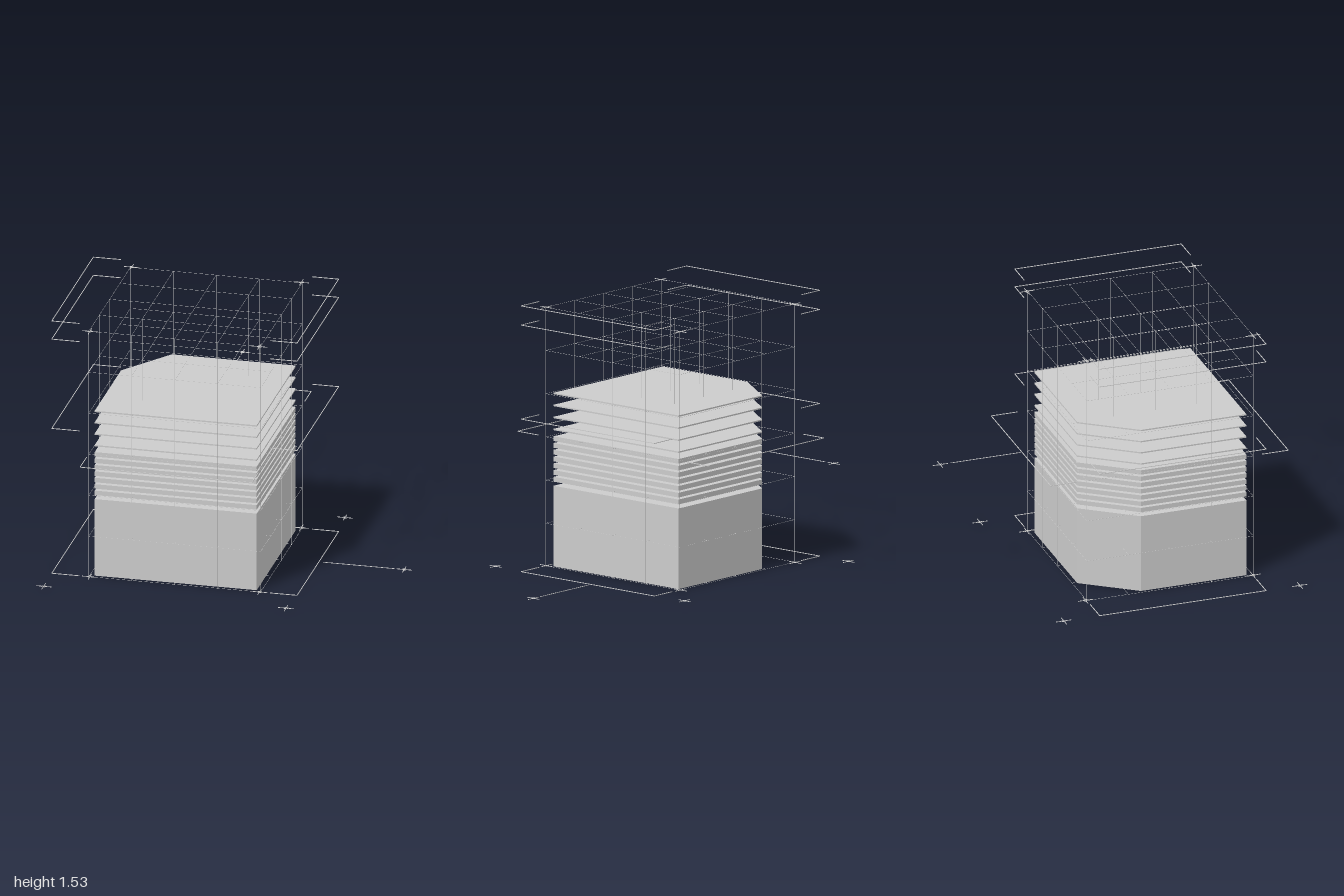
import * as THREE from 'three';

const grey = new THREE.MeshStandardMaterial({ color: 0xcccccc, flatShading: true });

// Lattice bounds
const STEP = 0.248, X0 = -0.743, X1 = 0.249, Z0 = -0.249, Z1 = 0.743, TOP = 1.488;

function addMesh(parent, name, geometry) {
  const mesh = new THREE.Mesh(geometry, grey);
  mesh.name = name;
  parent.add(mesh);
  return mesh;
}

// Thin square bar between two points lying along one axis
function addBar(parent, name, a, b, t) {
  const size = a.map((v, i) => Math.max(Math.abs(b[i] - v), t));
  const bar = addMesh(parent, name, new THREE.BoxGeometry(...size));
  bar.position.set(...a.map((v, i) => (v + b[i]) / 2));
}

function addGroup(parent, name) {
  const group = new THREE.Group();
  group.name = name;
  parent.add(group);
  return group;
}

// Square plate with one corner cut off, between two heights
function addPlate(parent, name, bottom, top) {
  const outline = [[-0.717, 0.711], [0.219, 0.711], [0.219, -0.219], [-0.497, -0.219], [-0.717, 0.083]];
  const shape = new THREE.Shape(outline.map(([x, z]) => new THREE.Vector2(x, -z)));
  const geometry = new THREE.ExtrudeGeometry(shape, { depth: top - bottom, bevelEnabled: false });
  geometry.rotateX(-Math.PI / 2);
  addMesh(parent, name, geometry).position.y = bottom;
}

// Flat cross with a small ring at its centre
function addMarker(parent, x, y, z) {
  const marker = addGroup(parent, 'crossMarker');
  const arm = 0.045, t = 0.003;
  addBar(marker, 'markerArm', [x - arm, y, z], [x + arm, y, z], t);
  addBar(marker, 'markerArm', [x, y, z - arm], [x, y, z + arm], t);
  const ring = addMesh(marker, 'markerRing', new THREE.TorusGeometry(0.013, 0.0012, 4, 12));
  ring.rotation.x = Math.PI / 2;
  ring.position.set(x, y, z);
}

// Long bar with two inward ends, along z at a side
function addSideBracket(parent, x, endX, y) {
  const t = 0.0035, group = addGroup(parent, 'sideBracket');
  addBar(group, 'bracketBar', [x, y, Z0], [x, y, Z1], t);
  for (const z of [Z0, Z1]) addBar(group, 'bracketEnd', [x, y, z], [endX, y, z], t);
}

// The same, along x at the front or back
function addEndBracket(parent, z, endZ, y) {
  const t = 0.0035, group = addGroup(parent, 'endBracket');
  addBar(group, 'bracketBar', [X0, y, z], [X1, y, z], t);
  for (const x of [X0, X1]) addBar(group, 'bracketEnd', [x, y, z], [x, y, endZ], t);
}

export function createModel() {
  const model = new THREE.Group();
  model.name = 'layeredBlock';

  // Solid base, seven thick layers and four thin sheets
  addPlate(model, 'baseBlock', 0, 0.463);
  for (let i = 0; i < 7; i++) {
    const top = 0.747 - i * 0.0388;
    addPlate(model, 'thickLayer', top - 0.027, top);
  }
  for (let i = 0; i < 4; i++) {
    const top = 0.997 - i * 0.069;
    addPlate(model, 'thinSheet', top - 0.008, top);
  }

  // Fine lattice of lines around and through the stack
  const lattice = addGroup(model, 'lattice');
  const fine = 0.0012;
  for (let j = 0; j <= 6; j++) {
    const y = Math.max(j * STEP, 0.004);
    for (let i = 0; i <= 4; i++) {
      const x = X0 + i * STEP, z = Z0 + i * STEP;
      addBar(lattice, 'latticeLineAcross', [X0, y, z], [X1, y, z], fine);
      addBar(lattice, 'latticeLineDeep', [x, y, Z0], [x, y, Z1], fine);
    }
  }
  for (let i = 0; i <= 4; i++) {
    for (let k = 0; k <= 4; k++) {
      const x = X0 + i * STEP, z = Z0 + k * STEP;
      const corner = i % 4 === 0 && k % 4 === 0;
      addBar(lattice, 'latticeUpright', [x, 0, z], [x, TOP, z], corner ? 0.002 : fine);
    }
  }

  // Brackets at the sides, front and back
  const brackets = addGroup(model, 'brackets');
  for (const y of [0.004, 0.88, 1.42, 1.53]) {
    addSideBracket(brackets, -0.957, -0.797, y);
    addSideBracket(brackets, 0.46, 0.305, y);
  }
  addEndBracket(brackets, 0.952, 0.797, 0.747);
  addEndBracket(brackets, -0.465, -0.31, 0.747);

  // Pointer lines leading out to the far markers
  addBar(model, 'backPointer', [-0.265, 0.747, -0.475], [-0.265, 0.747, -0.89], 0.003);
  addBar(model, 'sidePointer', [0.485, 0.004, 0.222], [0.895, 0.004, 0.222], 0.003);

  // Cross markers at the lattice corners, on the ground and at the pointers
  const markers = addGroup(model, 'markers');
  for (const x of [-0.737, 0.243]) {
    for (const z of [-0.255, 0.743]) {
      for (const y of [0.004, TOP]) addMarker(markers, x, y, z);
    }
  }
  for (const x of [-0.955, 0.445]) {
    for (const z of [-0.462, 0.945]) addMarker(markers, x, 0.004, z);
  }
  addMarker(markers, -0.265, 0.747, -0.953);
  addMarker(markers, 0.953, 0.004, 0.222);

  return model;
}
